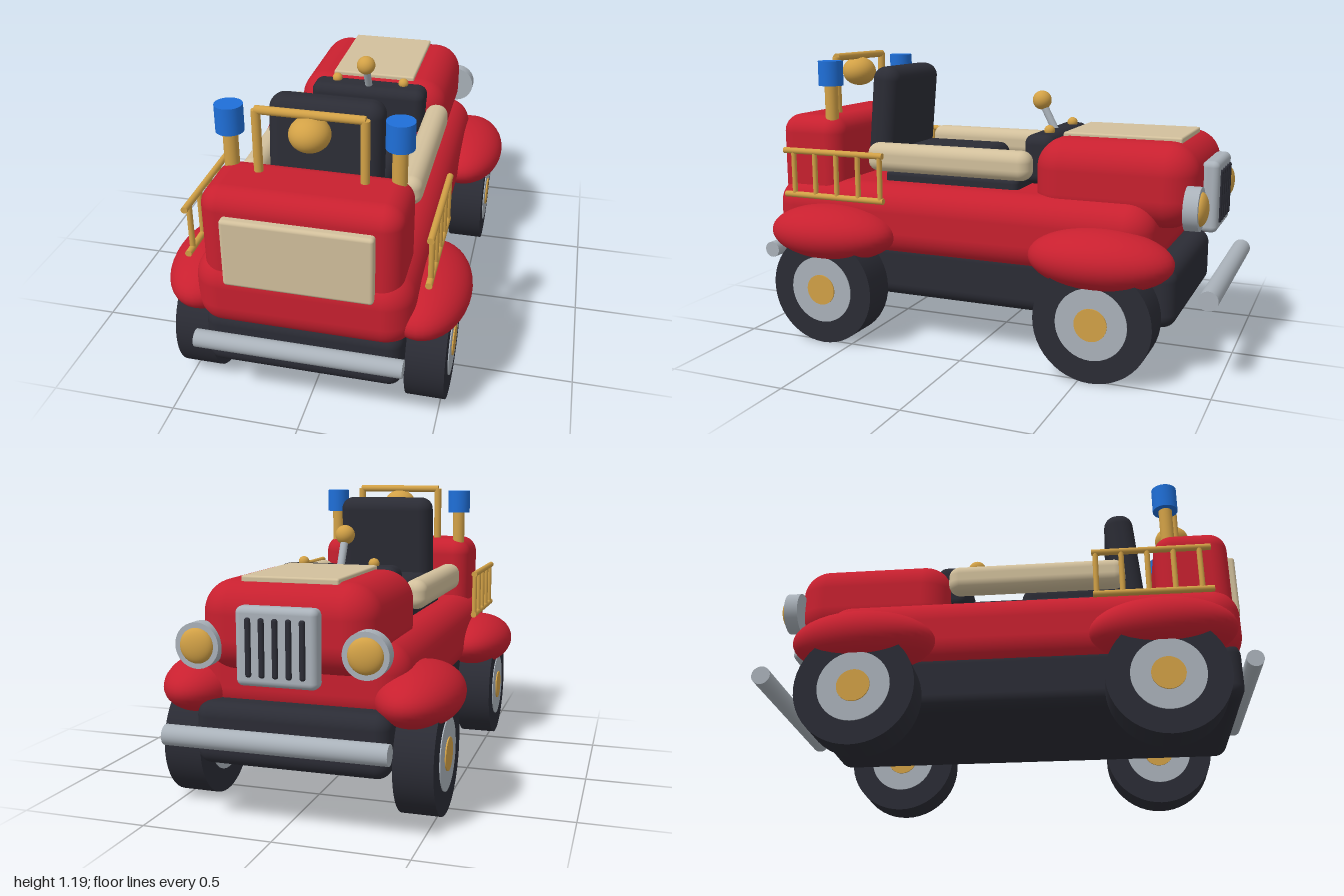
import * as THREE from 'three';
import { RoundedBoxGeometry } from 'three/addons/geometries/RoundedBoxGeometry.js';

const mat = (name, color) => {
  const m = new THREE.MeshStandardMaterial({ color });
  m.name = name;
  return m;
};

export function createModel() {
  const red = mat('red paint', 0xc8202f);
  const dark = mat('dark rubber', 0x2b2c35);
  const beige = mat('cream', 0xd2c09c);
  const silver = mat('silver', 0xaab2ba);
  const gold = mat('brass', 0xd2a146);
  const blue = mat('blue lamp', 0x1f6fd8);

  const model = new THREE.Group();
  model.name = 'fireJeep';

  const add = (name, geo, material, x, y, z, parent = model) => {
    const mesh = new THREE.Mesh(geo, material);
    mesh.name = name;
    mesh.position.set(x, y, z);
    parent.add(mesh);
    return mesh;
  };
  // Rounded box given by its lower and upper limits
  const box = (name, material, [x0, x1], [y0, y1], [z0, z1], r) =>
    add(name, new RoundedBoxGeometry(x1 - x0, y1 - y0, z1 - z0, 6, r), material,
      (x0 + x1) / 2, (y0 + y1) / 2, (z0 + z1) / 2);
  // Cylinder between two points
  const rod = (name, material, a, b, r, sides = 24, parent = model) => {
    const p = new THREE.Vector3(...a), q = new THREE.Vector3(...b);
    const d = q.clone().sub(p);
    const mesh = add(name, new THREE.CylinderGeometry(r, r, d.length(), sides), material, 0, 0, 0, parent);
    mesh.position.copy(p).add(q).multiplyScalar(0.5);
    mesh.quaternion.setFromUnitVectors(new THREE.Vector3(0, 1, 0), d.normalize());
    return mesh;
  };
  const ball = (name, material, x, y, z, rx, ry = rx, rz = rx) => {
    const mesh = add(name, new THREE.SphereGeometry(1, 40, 24), material, x, y, z);
    mesh.scale.set(rx, ry, rz);
    return mesh;
  };

  // Chassis and bodywork
  box('chassis', dark, [-0.375, 0.375], [0.19, 0.43], [-0.83, 0.92], 0.055);
  box('body', red, [-0.41, 0.41], [0.36, 0.665], [-0.74, 0.935], 0.11);
  box('hood', red, [-0.335, 0.335], [0.555, 0.888], [-0.88, -0.23], 0.12);
  box('hoodPanel', beige, [-0.185, 0.185], [0.875, 0.902], [-0.8, -0.32], 0.008);
  box('trunk', red, [-0.368, 0.368], [0.5, 0.938], [0.615, 0.915], 0.075);
  box('trunkPanel', beige, [-0.275, 0.275], [0.58, 0.852], [0.9, 0.947], 0.014);

  // Cockpit
  box('cockpitFloor', dark, [-0.265, 0.265], [0.6, 0.712], [-0.155, 0.455], 0.025);
  box('seatCushion', dark, [-0.22, 0.22], [0.68, 0.79], [0.06, 0.5], 0.045);
  const back = box('seatBack', dark, [-0.22, 0.22], [0.705, 1.142], [0.435, 0.56], 0.055);
  back.rotation.x = -0.09;
  box('dashboard', dark, [-0.255, 0.255], [0.69, 0.892], [-0.3, -0.172], 0.04);
  rod('lever', silver, [0, 0.86, -0.235], [0, 1.0, -0.163], 0.016);
  ball('leverKnob', gold, 0, 1.007, -0.163, 0.04);

  // Brass bar with bell
  for (const s of [-1, 1]) rod('barPost', gold, [s * 0.195, 0.9, 0.72], [s * 0.195, 1.178, 0.72], 0.017);
  rod('barTop', gold, [-0.197, 1.178, 0.72], [0.197, 1.178, 0.72], 0.016);
  ball('bell', gold, 0, 1.107, 0.725, 0.075, 0.064, 0.075);

  // Bumpers
  rod('trunkBumper', silver, [-0.39, 0.338, 0.963], [0.39, 0.338, 0.963], 0.034, 32);
  rod('grilleBumper', silver, [-0.415, 0.34, -0.961], [0.415, 0.34, -0.961], 0.038, 32);

  // Grille
  box('grille', silver, [-0.152, 0.152], [0.53, 0.812], [-0.938, -0.87], 0.024);
  for (let i = -2; i <= 2; i++)
    box('grilleSlot', dark, [i * 0.05 - 0.011, i * 0.05 + 0.011], [0.565, 0.775], [-0.947, -0.925], 0.009);

  // Mirrored parts
  for (const s of [-1, 1]) {
    const [lo, hi] = s > 0 ? [0.262, 0.36] : [-0.36, -0.262];
    box('armRail', beige, [lo, hi], [0.715, 0.835], [-0.235, 0.495], 0.045);
    ball('dashKnob', gold, s * 0.15, 0.9, -0.25, 0.022);

    // Headlight
    rod('headlightShell', silver, [s * 0.313, 0.658, -0.85], [s * 0.313, 0.658, -0.905], 0.084, 40);
    ball('headlightLens', gold, s * 0.313, 0.658, -0.902, 0.065, 0.065, 0.03);

    // Beacon
    rod('beaconPost', gold, [s * 0.31, 0.88, 0.678], [s * 0.31, 1.07, 0.678], 0.028);
    rod('beaconLamp', blue, [s * 0.31, 1.066, 0.678], [s * 0.31, 1.17, 0.678], 0.052, 32);

    // Side ladder
    const ladder = new THREE.Group();
    ladder.name = 'ladder';
    model.add(ladder);
    const lx = s * 0.449;
    for (const y of [0.613, 0.8]) rod('ladderRail', gold, [lx, y, 0.36], [lx, y, 0.83], 0.013, 16, ladder);
    for (let i = 0; i < 5; i++) {
      const z = 0.375 + i * 0.1025;
      rod('ladderRung', gold, [lx, 0.613, z], [lx, 0.8, z], 0.011, 16, ladder);
    }

    // Wheels and fenders
    for (const z of [0.623, -0.55]) {
      const wheel = new THREE.Group();
      wheel.name = 'wheel';
      wheel.position.set(s * 0.449, 0.232, z);
      model.add(wheel);
      rod('tire', dark, [-0.075, 0, 0], [0.075, 0, 0], 0.232, 48, wheel);
      rod('rim', silver, [-0.079, 0, 0], [0.079, 0, 0], 0.14, 40, wheel);
      rod('hubCap', gold, [-0.084, 0, 0], [0.084, 0, 0], 0.064, 32, wheel);
      ball('fender', red, s * 0.42, 0.457, z, 0.165, 0.118, 0.285);
    }
  }
  return model;
}
